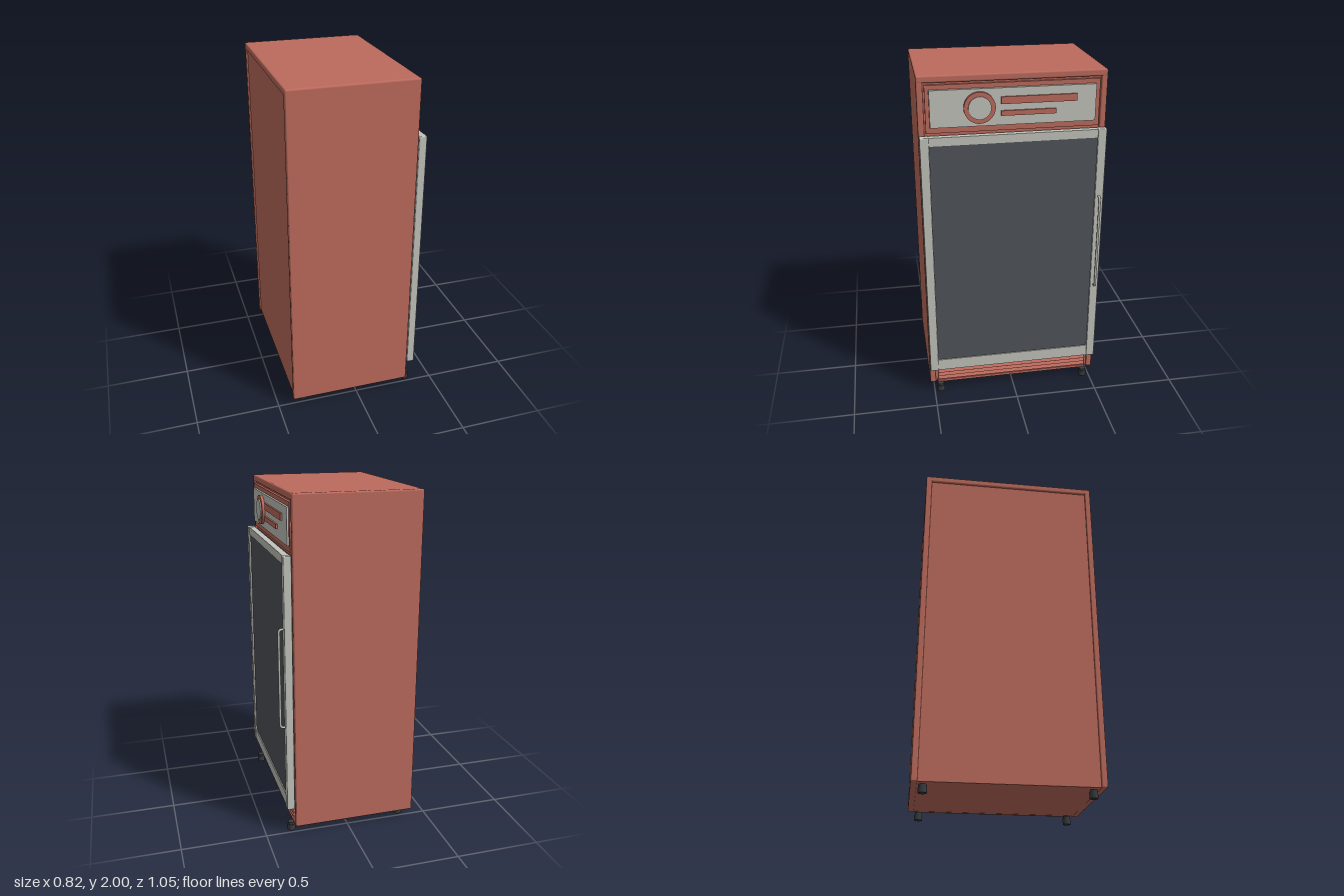
import * as THREE from 'three';
import { RoundedBoxGeometry } from 'three/addons/geometries/RoundedBoxGeometry.js';

const mat = (name, color) => {
  const m = new THREE.MeshStandardMaterial({ color });
  m.name = name;
  return m;
};

export function createModel() {
  const red = mat('terracotta red', 0xbd6b5d);
  const silver = mat('silver grey', 0xc4c4be);
  const glass = mat('smoked glass', 0x50545a);
  const black = mat('dark rubber', 0x3a3c40);

  const model = new THREE.Group();
  model.name = 'displayFridge';

  const add = (name, geometry, material, x = 0, y = 0, z = 0) => {
    const mesh = new THREE.Mesh(geometry, material);
    mesh.name = name;
    mesh.position.set(x, y, z);
    model.add(mesh);
    return mesh;
  };
  // Box given by its limits, with optionally rounded edges
  const box = (name, material, [x0, x1], [y0, y1], [z0, z1], r = 0) => {
    const size = [x1 - x0, y1 - y0, z1 - z0];
    const geometry = r ? new RoundedBoxGeometry(...size, 2, r) : new THREE.BoxGeometry(...size);
    return add(name, geometry, material, (x0 + x1) / 2, (y0 + y1) / 2, (z0 + z1) / 2);
  };
  // Disc or knob facing the front of the cabinet (+x)
  const disc = (name, material, radius, x0, x1, y, z) => {
    const geometry = new THREE.CylinderGeometry(radius, radius, x1 - x0, 40);
    geometry.rotateZ(-Math.PI / 2);
    return add(name, geometry, material, (x0 + x1) / 2, y, z);
  };

  // Cabinet: core with side walls and a top that stand proud front and back
  box('cabinetCore', red, [-0.4, 0.312], [0.047, 1.99], [-0.515, 0.515]);
  box('cabinetTop', red, [-0.41, 0.326], [1.96, 2], [-0.525, 0.525], 0.01);
  for (const s of [-1, 1]) {
    const z = [0.49 * s, 0.525 * s].sort((a, b) => a - b);
    box('cabinetSide', red, [-0.41, 0.325], [0.045, 1.995], z, 0.008);
  }

  // Header: raised frame and sign panel
  box('headerFrameTop', red, [0.3, 0.328], [1.925, 1.95], [-0.482, 0.482]);
  box('headerFrameBottom', red, [0.3, 0.328], [1.685, 1.715], [-0.482, 0.482]);
  for (const s of [-1, 1]) {
    const z = [0.46 * s, 0.482 * s].sort((a, b) => a - b);
    box('headerFrameSide', red, [0.3, 0.328], [1.715, 1.925], z);
  }
  box('headerPanel', silver, [0.3, 0.338], [1.717, 1.923], [-0.459, 0.459]);
  disc('headerRing', red, 0.087, 0.33, 0.355, 1.822, 0.19);
  disc('headerDisc', silver, 0.063, 0.33, 0.362, 1.822, 0.19);
  box('headerLongBar', red, [0.33, 0.348], [1.836, 1.876], [-0.35, 0.072]);
  box('headerShortBar', red, [0.33, 0.348], [1.771, 1.799], [-0.233, 0.072]);

  // Door: two stiles, two rails, glass and gasket
  box('doorGasket', black, [0.305, 0.336], [0.18, 1.66], [-0.5, 0.5]);
  for (const s of [-1, 1]) {
    const z = [0.472 * s, 0.522 * s].sort((a, b) => a - b);
    box('doorStile', silver, [0.33, 0.375], [0.165, 1.675], z, 0.006);
  }
  box('doorTopRail', silver, [0.333, 0.37], [1.625, 1.673], [-0.473, 0.473]);
  box('doorBottomRail', silver, [0.333, 0.37], [0.167, 0.24], [-0.473, 0.473]);
  box('doorGlass', glass, [0.335, 0.364], [0.238, 1.627], [-0.473, 0.473]);

  // Bent rod handle
  const path = new THREE.CurvePath();
  const v = (x, y) => new THREE.Vector3(x, y, -0.494);
  path.add(new THREE.LineCurve3(v(0.365, 0.688), v(0.383, 0.688)));
  path.add(new THREE.QuadraticBezierCurve3(v(0.383, 0.688), v(0.401, 0.688), v(0.401, 0.71)));
  path.add(new THREE.LineCurve3(v(0.401, 0.71), v(0.401, 1.248)));
  path.add(new THREE.QuadraticBezierCurve3(v(0.401, 1.248), v(0.401, 1.27), v(0.383, 1.27)));
  path.add(new THREE.LineCurve3(v(0.383, 1.27), v(0.365, 1.27)));
  add('doorHandle', new THREE.TubeGeometry(path, 160, 0.007, 10), silver);

  // Ventilation grille with slanted louvres
  const louvre = new THREE.Shape();
  louvre.moveTo(0.3, 0);
  louvre.lineTo(0.324, 0);
  louvre.lineTo(0.336, 0.006);
  louvre.lineTo(0.324, 0.021);
  louvre.lineTo(0.3, 0.021);
  louvre.closePath();
  const louvreGeometry = new THREE.ExtrudeGeometry(louvre, { depth: 0.944, bevelEnabled: false });
  for (let i = 0; i < 4; i++) {
    add('grilleLouvre', louvreGeometry, red, 0, 0.066 + i * 0.024, -0.472);
  }
  box('grilleSill', red, [0.3, 0.328], [0.046, 0.062], [-0.478, 0.478]);

  // Feet
  for (const x of [-0.34, 0.34]) {
    for (const z of [-0.46, 0.46]) {
      add('foot', new THREE.CylinderGeometry(0.024, 0.024, 0.036, 16), black, x, 0.018, z);
      add('footStem', new THREE.CylinderGeometry(0.02, 0.02, 0.02, 16), black, x, 0.04, z);
    }
  }
  return model;
}
